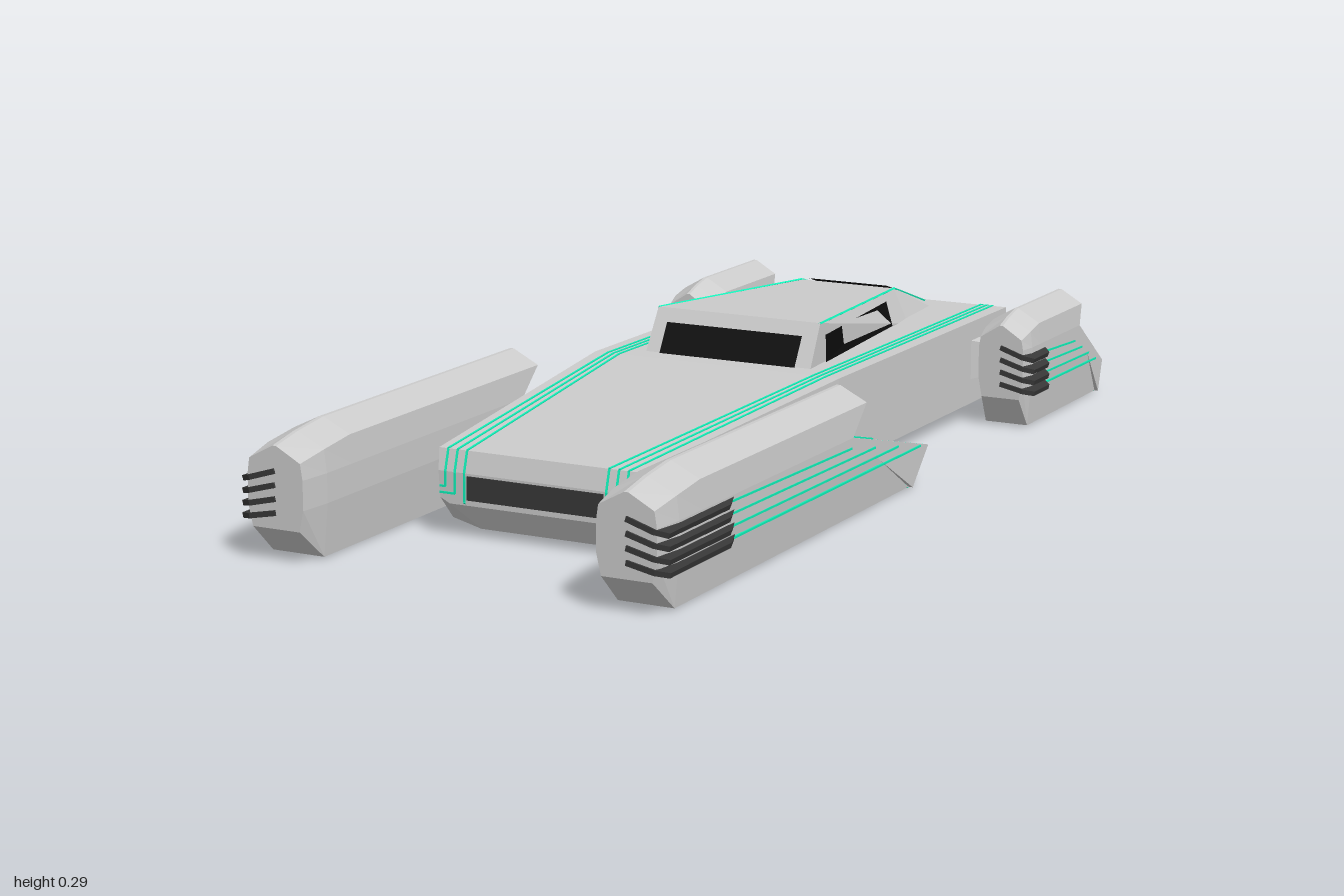
import * as THREE from 'three';

const material = (color) => new THREE.MeshStandardMaterial({ color, flatShading: true, side: THREE.DoubleSide });
const grey = material(0xcccccc);
const teal = material(0x10f0b8);
const glass = material(0x0c0c0c);
const dark = material(0x383838);
const forward = new THREE.Vector3(0, 0, 1);

function add(parent, name, geometry, mat = grey) {
  const mesh = new THREE.Mesh(geometry, mat);
  mesh.name = name;
  parent.add(mesh);
  return mesh;
}

// Symmetric hull: rings run back to front, each a list of [halfWidth, y, z] levels from bottom to top
function hull(rings) {
  const pos = [];
  const quad = (a, b, c, d) => pos.push(...a, ...b, ...c, ...a, ...c, ...d);
  const flip = ([x, y, z]) => [-x, y, z];
  const loops = rings.map((r) => [...r, ...[...r].reverse().map(flip)]);
  for (let k = 0; k + 1 < loops.length; k++) {
    const a = loops[k], b = loops[k + 1], n = a.length;
    for (let i = 0; i < n; i++) quad(a[i], a[(i + 1) % n], b[(i + 1) % n], b[i]);
  }
  const back = rings[0], front = rings[rings.length - 1];
  for (let i = 0; i + 1 < back.length; i++) {
    quad(back[i], flip(back[i]), flip(back[i + 1]), back[i + 1]);
    quad(flip(front[i]), front[i], front[i + 1], flip(front[i + 1]));
  }
  const g = new THREE.BufferGeometry();
  g.setAttribute('position', new THREE.Float32BufferAttribute(pos, 3));
  g.computeVertexNormals();
  return g;
}

function panel(parent, name, [a, b, c, d], mat) {
  const g = new THREE.BufferGeometry();
  g.setAttribute('position', new THREE.Float32BufferAttribute([...a, ...b, ...c, ...a, ...c, ...d], 3));
  g.computeVertexNormals();
  return add(parent, name, g, mat);
}

// Thin glowing strip along a list of points
function strip(parent, name, points, size = 0.004) {
  const p = points.map((q) => new THREE.Vector3(...q));
  for (let i = 0; i + 1 < p.length; i++) {
    const along = p[i + 1].clone().sub(p[i]);
    const m = add(parent, name, new THREE.BoxGeometry(size, size, along.length()), teal);
    m.position.addVectors(p[i], p[i + 1]).multiplyScalar(0.5);
    m.quaternion.setFromUnitVectors(forward, along.normalize());
  }
}

function plate(points, depth) {
  const shape = new THREE.Shape(points.map(([x, y]) => new THREE.Vector2(x, y)));
  return new THREE.ExtrudeGeometry(shape, { depth, bevelEnabled: false }).translate(0, 0, -depth / 2);
}

// Pod with a tapered nose, a notched tail, side fins and light strips
function makePod(name, s, o) {
  const pod = new THREE.Group();
  pod.name = name;
  pod.position.x = s * o.x;
  const w = o.width;
  const section = (y0, top, k, zAt) => [
    [0.055 * k, y0], [0.065 * k, 0.1], [0.065 * k, o.notch[1]], [0.06 * k, top - 0.027], [0.004, top],
  ].map(([x, y]) => [x * w, y, zAt(y)]);
  const [nz, ny] = o.notch;
  const tail = (y) => (y <= ny ? o.floor + (nz - o.floor) * y / ny : nz + (o.roof - nz) * Math.min(1, (y - ny) / (0.21 - ny)));
  add(pod, 'podShell', hull([
    section(0, 0.235, 1, tail),
    section(0, 0.235, 1, () => o.front - o.taper),
    section(0, 0.225, 1, () => o.front - o.taper * 0.45),
    section(0.06, 0.212, 0.9, () => o.front),
  ]));

  // Sloping engine recess in the tail
  const length = Math.hypot(nz - o.floor, ny), lean = Math.atan2(nz - o.floor, ny);
  const h = 0.055 * w, e = 0.044 * w;
  const lining = add(pod, 'engineLining', plate([[-h, 0], [h, 0], [h, length], [-h, length]], 0.006), teal);
  const engine = add(pod, 'engine', plate(
    [[-e, 0.26 * length], [-e * 0.5, 0.18 * length], [e * 0.5, 0.18 * length], [e, 0.26 * length], [e, length], [-e, length]], 0.016), glass);
  for (const m of [lining, engine]) {
    m.position.z = o.floor;
    m.rotation.x = lean;
  }

  // Side walls reaching past the recess, lit on the inside
  const wall = [[-o.floor, 0], [-o.prong[0], o.prong[1]], [-nz, ny]];
  for (const side of [-1, 1]) {
    const outer = add(pod, 'tailWall', plate(wall, 0.008).rotateY(Math.PI / 2));
    outer.position.x = side * 0.06 * w;
    const inner = add(pod, 'tailWallLining', plate(wall, 0.002).rotateY(Math.PI / 2), teal);
    inner.position.x = side * 0.054 * w;
  }

  // Fins and strips on the outer side
  const f = o.front, r = 0.08 * (w + 1) / 2;
  const outline = [[0, f + 0.004], [r * 0.7, f + 0.004], [r, f - 0.01], [r, f - o.fin * 0.8], [r * 0.72, f - o.fin], [0, f - o.fin]];
  for (let i = 0; i < 4; i++) {
    const fin = add(pod, 'fin', plate(outline.map(([x, z]) => [s * x, z]), 0.01).rotateX(Math.PI / 2), dark);
    fin.position.y = 0.09 + i * 0.0255;
    fin.rotation.z = -s * Math.atan2(0.016 + i * 0.003, r);
    const x = s * 0.0645 * w;
    const end = o.prong[0] + 0.04 + (nz - o.prong[0]) * i * 0.3;
    strip(pod, 'podLight', [[x, 0.078 + i * 0.0223, f - o.fin * 0.9], [x, 0.076 + i * 0.02, end]]);
  }
  return pod;
}

export function createModel() {
  const car = new THREE.Group();
  car.name = 'hoverCar';

  // Main body
  add(car, 'body', hull([
    [[0.15, 0.03, -0.865], [0.22, 0.04, -0.865], [0.22, 0.182, -0.865]],
    [[0.17, 0.01, -0.81], [0.272, 0.027, -0.81], [0.272, 0.2, -0.81]],
    [[0.17, 0.01, 0], [0.27, 0.027, 0], [0.27, 0.203, 0]],
    [[0.13, 0.012, 0.67], [0.19, 0.027, 0.67], [0.208, 0.16, 0.685]],
    [[0.18, 0.06, 0.697], [0.2, 0.07, 0.697], [0.203, 0.12, 0.697]],
  ]));
  add(car, 'grille', new THREE.BoxGeometry(0.284, 0.045, 0.02), dark).position.set(0, 0.093, 0.69);

  // Cabin and its windows
  const cabin = new THREE.Group();
  cabin.name = 'cabin';
  car.add(cabin);
  add(cabin, 'cabinShell', hull([
    [[0.125, 0.19, -0.77], [0.1, 0.205, -0.77]],
    [[0.14, 0.19, -0.6], [0.107, 0.262, -0.6]],
    [[0.183, 0.19, -0.045], [0.18, 0.285, -0.1]],
  ]));
  panel(cabin, 'windshield', [[-0.15, 0.202, -0.047], [0.15, 0.202, -0.047], [0.15, 0.26, -0.08], [-0.15, 0.26, -0.08]], glass);
  panel(cabin, 'rearWindow', [[0.09, 0.208, -0.772], [-0.09, 0.208, -0.772], [-0.09, 0.266, -0.6], [0.09, 0.266, -0.6]], glass);
  // Point on the cabin side: k runs from back to front, t from base to roof
  const sidePoint = (s, k, t) => {
    const base = 0.14 + 0.043 * k, roof = 0.107 + 0.073 * k;
    return [s * (base + (roof - base) * t + 0.007), 0.19 + t * (0.072 + 0.023 * k), -0.6 + k * (0.555 - 0.055 * t)];
  };
  for (const s of [-1, 1]) {
    panel(cabin, 'sideWindow', [sidePoint(s, 0.88, 0.15), sidePoint(s, 0.18, 0.18), sidePoint(s, 0.18, 0.82), sidePoint(s, 0.94, 0.74)], glass);
    strip(cabin, 'roofLight', [[s * 0.179, 0.284, -0.1], [s * 0.107, 0.262, -0.6], [s * 0.1, 0.206, -0.77]]);
  }

  for (const s of [-1, 1]) {
    const side = s > 0 ? 'left' : 'right';

    // Light strips along the body and over the nose, the outer two turning outward
    for (let i = 0; i < 3; i++) {
      const rear = 0.215 + i * 0.013, x = s * (0.148 + i * 0.02);
      const end = i ? [[x, 0.068 + i * 0.012, 0.697], [s * 0.2, 0.068 + i * 0.012, 0.697]] : [[x, 0.066, 0.697], [x, 0.03, 0.674]];
      strip(car, 'bodyLight', [
        [s * Math.min(rear, 0.218), 0.182, -0.865], [s * rear, 0.2, -0.81], [s * rear, 0.203, 0],
        [x, 0.16, 0.685], [x, 0.12, 0.697], ...end,
      ]);
    }

    // Arms that carry the pods
    add(car, side + 'FrontArm', new THREE.BoxGeometry(0.13, 0.05, 0.125)).position.set(s * 0.25, 0.095, 0.45);
    const arm = new THREE.CylinderGeometry(0.8, 1.414, 0.08, 4).rotateY(Math.PI / 4).scale(0.045, 1, 0.11).rotateZ(-s * Math.PI / 2);
    add(car, side + 'RearArm', arm).position.set(s * 0.295, 0.12, -0.73);

    car.add(makePod(side + 'FrontPod', s, {
      x: 0.355, width: 1, front: 0.996, taper: 0.15, floor: -0.02, prong: [-0.09, 0.07], notch: [0.25, 0.155], roof: 0.18, fin: 0.29,
    }));
    car.add(makePod(side + 'RearPod', s, {
      x: 0.364, width: 0.84, front: -0.57, taper: 0.08, floor: -0.98, prong: [-1, 0.065], notch: [-0.865, 0.165], roof: -0.885, fin: 0.11,
    }));
  }
  return car;
}
